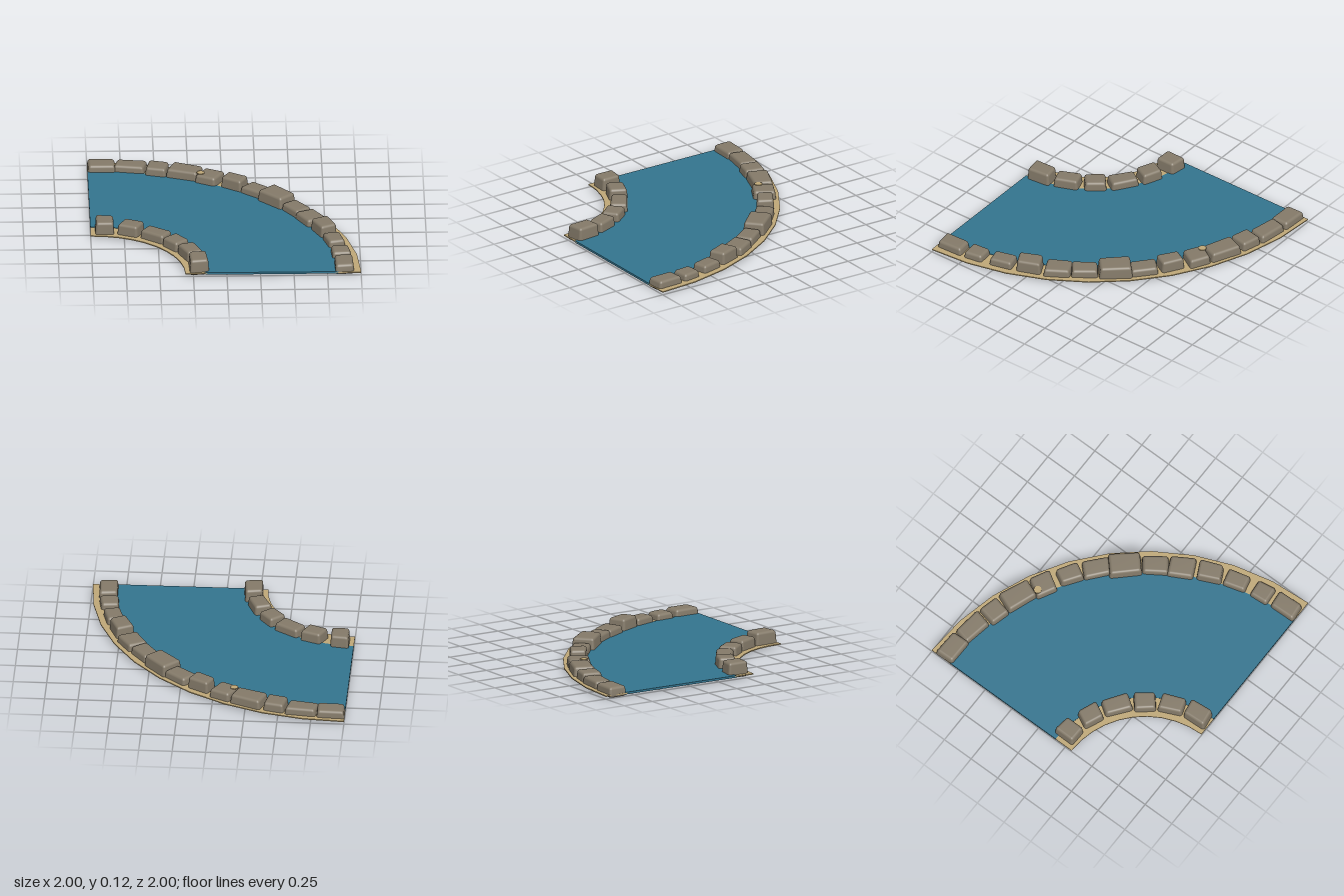
import * as THREE from 'three';
import { RoundedBoxGeometry } from 'three/addons/geometries/RoundedBoxGeometry.js';
import { mergeVertices } from 'three/addons/utils/BufferGeometryUtils.js';

const material = (name, color) => new THREE.MeshStandardMaterial({ name, color });

// Quarter ring slab curving round the corner at x = -1, z = 1
function quarterRing(inner, outer, bottom, height, inSteps = 10, outSteps = 10) {
  const points = [];
  const arc = (r, steps, reverse) => {
    for (let i = 0; i <= steps; i++) {
      const t = ((reverse ? steps - i : i) / steps) * Math.PI / 2;
      points.push(new THREE.Vector2(r * Math.cos(t), r * Math.sin(t)));
    }
  };
  arc(outer, outSteps, false);
  arc(inner, inSteps, true);
  const geometry = new THREE.ExtrudeGeometry(new THREE.Shape(points), { depth: height, bevelEnabled: false });
  return geometry.rotateX(-Math.PI / 2).translate(-1, bottom, 1);
}

// Worn stone block: rounded box with a narrower top and slightly skewed plan
function stoneGeometry(length, height, width, seed) {
  const geometry = new RoundedBoxGeometry(length, height, width, 3, 0.02);
  const skew = 0.08 * Math.sin(seed * 2.4);
  const flare = 0.1 * Math.sin(seed * 1.7 + 1);
  const p = geometry.attributes.position;
  for (let i = 0; i < p.count; i++) {
    const x = p.getX(i), y = p.getY(i), z = p.getZ(i);
    const taper = y > 0 ? 1 - 0.1 * (y / (height / 2)) : 1;
    p.setXYZ(i, (x + z * skew) * taper, y, z * (1 + flare * x / length) * taper);
  }
  geometry.deleteAttribute('normal');
  geometry.deleteAttribute('uv');
  const smooth = mergeVertices(geometry, 1e-5);
  smooth.computeVertexNormals();
  return smooth;
}

// Each stone: x, z, length, width, turn in degrees, top height
const outerStones = [
  [-0.895, -0.885, 0.21, 0.15, 2, 0.085], [-0.68, -0.865, 0.235, 0.14, 9, 0.085],
  [-0.48, -0.81, 0.16, 0.16, 15, 0.095], [-0.275, -0.745, 0.25, 0.16, 22, 0.1],
  [-0.09, -0.65, 0.17, 0.17, 28, 0.095], [0.09, -0.54, 0.18, 0.13, 33, 0.117],
  [0.255, -0.415, 0.21, 0.14, 41, 0.085], [0.40, -0.26, 0.25, 0.17, 48, 0.12],
  [0.54, -0.08, 0.2, 0.14, 55, 0.088], [0.645, 0.085, 0.2, 0.16, 60, 0.087],
  [0.74, 0.28, 0.19, 0.14, 67, 0.12], [0.81, 0.475, 0.18, 0.13, 75, 0.085],
  [0.855, 0.685, 0.15, 0.14, 83, 0.08], [0.875, 0.89, 0.21, 0.14, 88, 0.085],
];
const innerStones = [
  [-0.895, 0.21, 0.14, 0.165, 5, 0.122], [-0.70, 0.26, 0.165, 0.14, 23, 0.112],
  [-0.515, 0.365, 0.215, 0.13, 36, 0.095], [-0.37, 0.515, 0.165, 0.14, 52, 0.1],
  [-0.265, 0.69, 0.19, 0.13, 67, 0.107], [-0.21, 0.89, 0.19, 0.14, 86, 0.127],
];

export function createModel() {
  const model = new THREE.Group();
  model.name = 'curvedStream';
  const sand = material('sand', 0xbfa878);
  const water = material('water', 0x33748e);
  const stone = material('stone', 0x847a69);

  const add = (name, geometry, mat, parent = model) => {
    const mesh = new THREE.Mesh(geometry, mat);
    mesh.name = name;
    parent.add(mesh);
    return mesh;
  };

  // Sandy banks and the water between them
  add('innerBank', quarterRing(0.69, 0.86, 0.022, 0.008), sand);
  add('outerBank', quarterRing(1.81, 2, 0.022, 0.008), sand);
  add('waterSurface', quarterRing(0.84, 1.83, 0.018, 0.016, 20, 20), water);

  // Rows of edging stones along both banks
  const addRow = (name, rows) => {
    const group = new THREE.Group();
    group.name = name;
    rows.forEach(([x, z, length, width, turn, top], i) => {
      const bottom = 0.005;
      const height = top - bottom;
      const mesh = add('edgingStone', stoneGeometry(length, height, width, i + rows.length), stone, group);
      mesh.position.set(x, bottom + height / 2, z);
      mesh.rotation.y = -THREE.MathUtils.degToRad(turn);
    });
    model.add(group);
  };
  addRow('outerStones', outerStones);
  addRow('innerStones', innerStones);

  // Small patch of sand lying on one stone
  const patch = add('sandPatch', new THREE.CylinderGeometry(0.03, 0.03, 0.006, 10), sand);
  patch.position.set(-0.16, 0.098, -0.65);
  return model;
}
